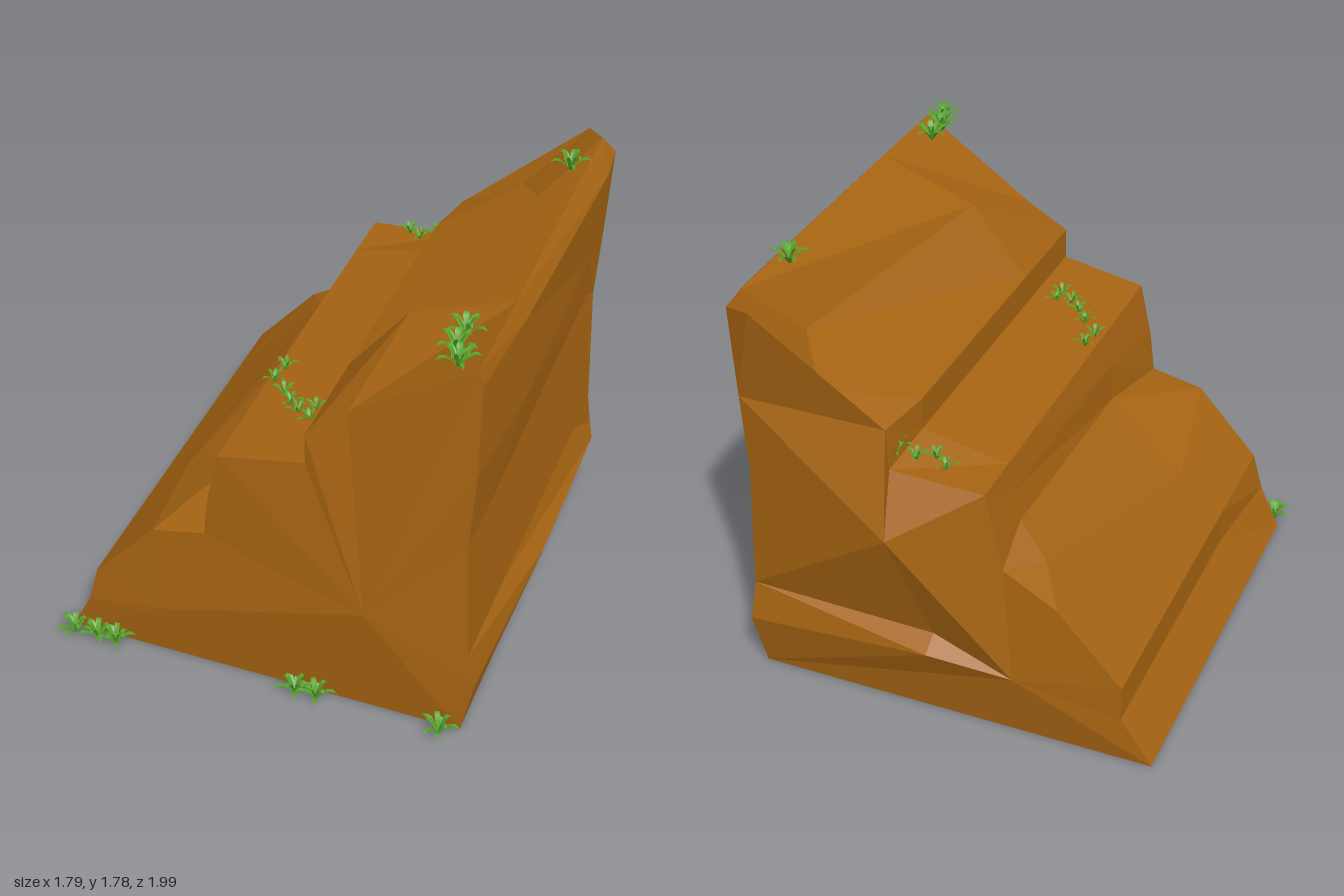
import * as THREE from 'three';
import { mergeGeometries } from 'three/addons/utils/BufferGeometryUtils.js';

// stepped outline, from the low left foot over the top to the right foot
const PROFILE = [
  [-0.86, 0], [-0.73, 0.19], [-0.73, 0.34], [-0.47, 0.63], [-0.25, 0.68], [-0.23, 0.85],
  [-0.18, 1.08], [0.17, 1.15], [0.17, 1.28], [0.32, 1.4], [0.8, 1.72], [0.84, 1.65],
  [0.82, 1.27], [0.8, 0.95], [0.82, 0.4], [0.85, 0.25], [0.8, 0],
];

// cross-sections: the outline at depth z, with a few corners moved
const section = (z, moves) => PROFILE.map(([x, y], i) => moves[i] || [x, y, z]);

function rockGeometry() {
  const front = section(0.86, {
    1: [-0.77, 0.18, 0.87], 9: [0.32, 1.4, 0.82], 10: [0.8, 1.72, 0.84], 11: [0.82, 1.66, 0.84],
  });
  const middle = section(0.4, {
    3: [-0.56, 0.53, 0.33], 4: [-0.22, 0.78, 0.4], 5: [-0.21, 0.94, 0.4], 9: [0.4, 1.57, 0.4],
    12: [0.84, 1.25, 0.3], 13: [0.78, 0.88, 0.53], 15: [0.89, 0.3, 0.08],
  });
  const rear = section(-0.62, {
    3: [-0.36, 0.72, -0.68], 4: [-0.23, 0.84, -0.62], 5: [-0.2, 0.96, -0.62], 9: [0.64, 1.48, -0.62],
    10: [0.79, 1.72, -0.81], 11: [0.86, 1.65, -0.66], 13: [0.79, 0.99, -0.77], 15: [0.87, 0.25, -0.76],
  });
  const back = section(-0.845, {
    4: [-0.25, 0.76, -0.845], 7: [0.2, 1.1, -0.85], 8: [0.21, 1.27, -0.85], 9: [0.46, 1.4, -0.87],
    10: [0.71, 1.69, -0.92], 15: [0.83, 0.24, -0.88], 16: [0.8, 0, -0.83],
  });
  const rings = [front, middle, rear, back];
  const pos = [];
  const tri = (a, b, c) => pos.push(...a, ...b, ...c);
  const n = PROFILE.length;

  // skin between neighbouring cross-sections
  for (let s = 0; s < rings.length - 1; s++) {
    for (let j = 0; j < n; j++) {
      const k = (j + 1) % n;
      const a = rings[s][j], b = rings[s][k], c = rings[s + 1][k], d = rings[s + 1][j];
      tri(a, b, c);
      tri(a, c, d);
    }
  }

  // end faces: fans around bulging corners
  const fan = (hub, loop, isFront) => {
    for (let i = 0; i < loop.length - 1; i++) {
      if (isFront) tri(hub, loop[i + 1], loop[i]);
      else tri(hub, loop[i], loop[i + 1]);
    }
  };
  const frontBulge = [0.42, 0.53, 0.92], frontFoot = [-0.42, 0.25, 0.885];
  fan(frontFoot, [...front.slice(0, 5), frontBulge, front[16], front[0]], true);
  fan(frontBulge, front.slice(4), true);

  // back: overhanging top, bulging middle, ledge and foot
  const backBulge = [0.16, 0.88, -1], backFoot = [-0.3, 0.28, -0.885];
  const ledgeTop = [0.04, 0.38, -0.85], ledgeEdge = [0.04, 0.33, -0.93];
  fan(back[10], [back[11], back[12], back[8], back[9]], false);
  fan(backBulge, [...back.slice(4, 9), ...back.slice(12, 15), ledgeTop], false);
  fan(ledgeEdge, [ledgeTop, ...back.slice(14)], false);
  fan(backFoot, [...back.slice(0, 5), backBulge, ledgeTop, ledgeEdge, back[16], back[0]], false);

  const geo = new THREE.BufferGeometry();
  geo.setAttribute('position', new THREE.Float32BufferAttribute(pos, 3));
  geo.computeVertexNormals();
  return geo;
}

// one arching, pointed leaf growing along +z
function leafGeometry(length, height, width) {
  const geo = new THREE.PlaneGeometry(1, 1, 2, 4);
  const p = geo.attributes.position;
  for (let i = 0; i < p.count; i++) {
    const t = p.getY(i) + 0.5;
    const w = width * (0.35 + 1.3 * t) * (1 - t * t);
    const fold = Math.abs(p.getX(i)) * 0.3 * w;
    p.setXYZ(i, -p.getX(i) * w, height * Math.sin(t * 2.1) + fold, length * t);
  }
  geo.computeVertexNormals();
  return geo;
}

// tuft of leaves spread around a point
function tuftGeometry(size, blades, turn) {
  const leaves = [];
  for (let i = 0; i < blades; i++) {
    const reach = size * (i % 2 ? 0.6 : 1);
    const rise = size * (i % 2 ? 0.9 : 0.65);
    const leaf = leafGeometry(reach, rise, size * 0.36);
    leaf.rotateY(turn + (i / blades) * Math.PI * 2);
    leaves.push(leaf);
  }
  return mergeGeometries(leaves);
}

export function createModel() {
  const group = new THREE.Group();

  const rock = new THREE.Mesh(
    rockGeometry(),
    new THREE.MeshStandardMaterial({ color: 0xa56312, flatShading: true })
  );
  rock.name = 'steppedRock';
  group.add(rock);

  const green = new THREE.MeshStandardMaterial({ color: 0x55a329, side: THREE.DoubleSide });
  const addTufts = (name, spots, size, blades) => {
    const tufts = new THREE.Group();
    tufts.name = name;
    spots.forEach(([x, y, z], i) => {
      const tuft = new THREE.Mesh(tuftGeometry(size, blades, i * 1.3), green);
      tuft.name = 'grassTuft';
      tuft.position.set(x, y, z);
      tufts.add(tuft);
    });
    group.add(tufts);
  };

  // grass along the front foot
  const foot = (x) => [x, 0, 0.905];
  addTufts('footGrass', [-0.83, -0.73, -0.65, 0.13, 0.22, 0.73].map(foot), 0.085, 9);

  // grass on the top edge
  const top = ([x, z]) => [x, 1.705, z];
  addTufts('topGrass', [[0.69, 0.64], [0.69, 0.74], [0.72, 0.82], [0.73, -0.55]].map(top), 0.085, 9);

  // small sprigs on the upper step
  const step = ([x, z]) => [x, 1.08 + 0.14 * (x + 0.18), z];
  addTufts('stepGrass', [
    [-0.14, 0.28], [-0.15, 0.37], [-0.08, 0.44], [-0.03, 0.5], [0.02, 0.55], [0.08, 0.52], [0.08, 0.59],
    [0, -0.78], [0.06, -0.74], [0.12, -0.78], [0.2, -0.75], [0.2, -0.8],
  ].map(step), 0.055, 6);

  return group;
}
